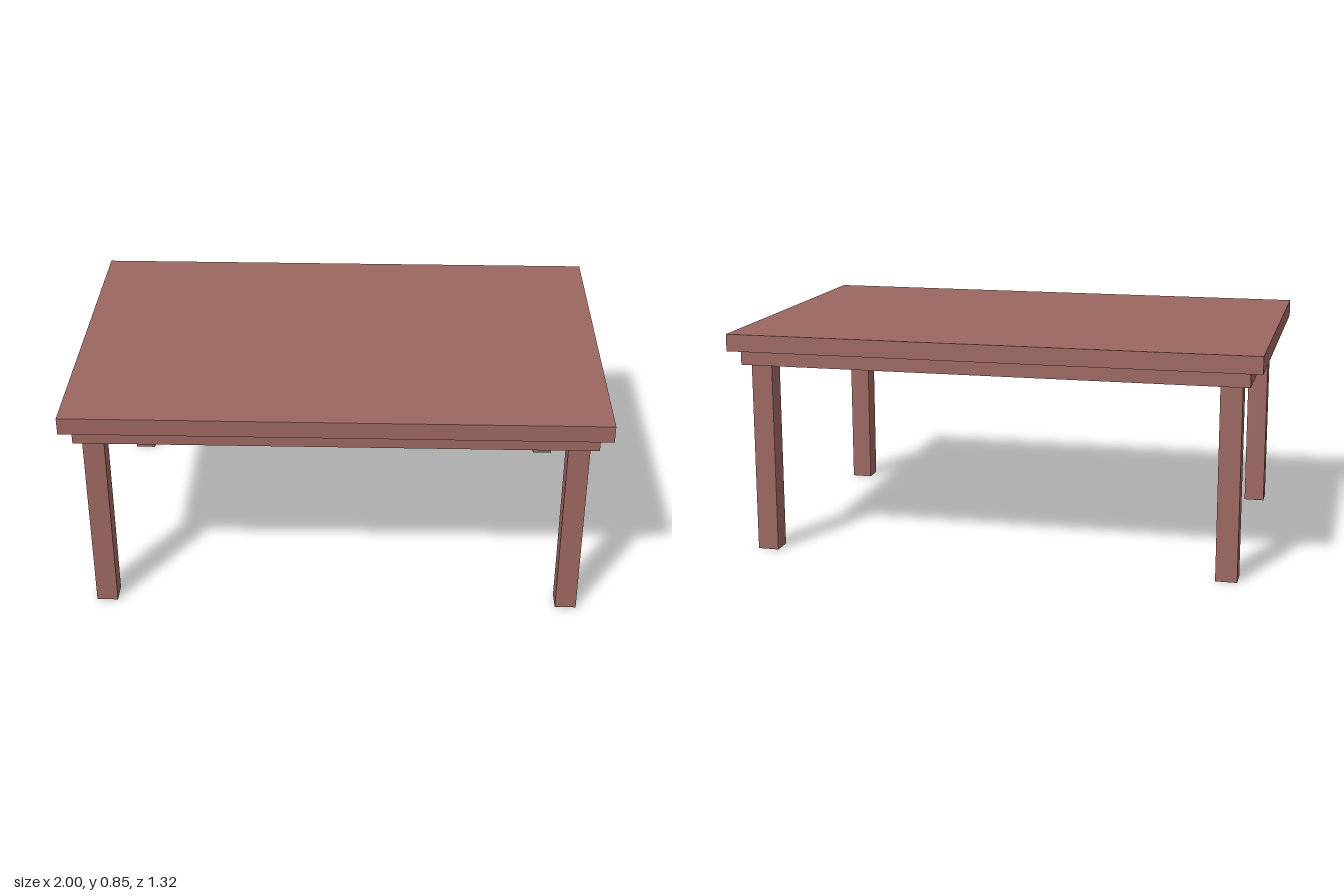
import * as THREE from 'three';

export function createModel() {
  const model = new THREE.Group();
  model.name = 'table';

  const wood = new THREE.MeshStandardMaterial({ color: 0x9c6761 });
  wood.name = 'reddish brown wood';

  // Adds a box of the given size whose underside sits at height y
  function addBox(name, width, height, depth, x, y, z) {
    const mesh = new THREE.Mesh(new THREE.BoxGeometry(width, height, depth), wood);
    mesh.name = name;
    mesh.position.set(x, y + height / 2, z);
    model.add(mesh);
  }

  // Table top and the smaller slab below it
  addBox('tableTop', 2, 0.065, 1.324, 0, 0.785, 0);
  addBox('underFrame', 1.91, 0.055, 1.266, 0, 0.73, 0);

  // Four square legs, set in from the corners of the slab
  for (const [side, sx] of [['Left', 1], ['Right', -1]]) {
    for (const [end, sz] of [['front', 1], ['back', -1]]) {
      addBox(`${end}${side}Leg`, 0.08, 0.73, 0.08, sx * 0.886, 0, sz * 0.562);
    }
  }

  return model;
}
